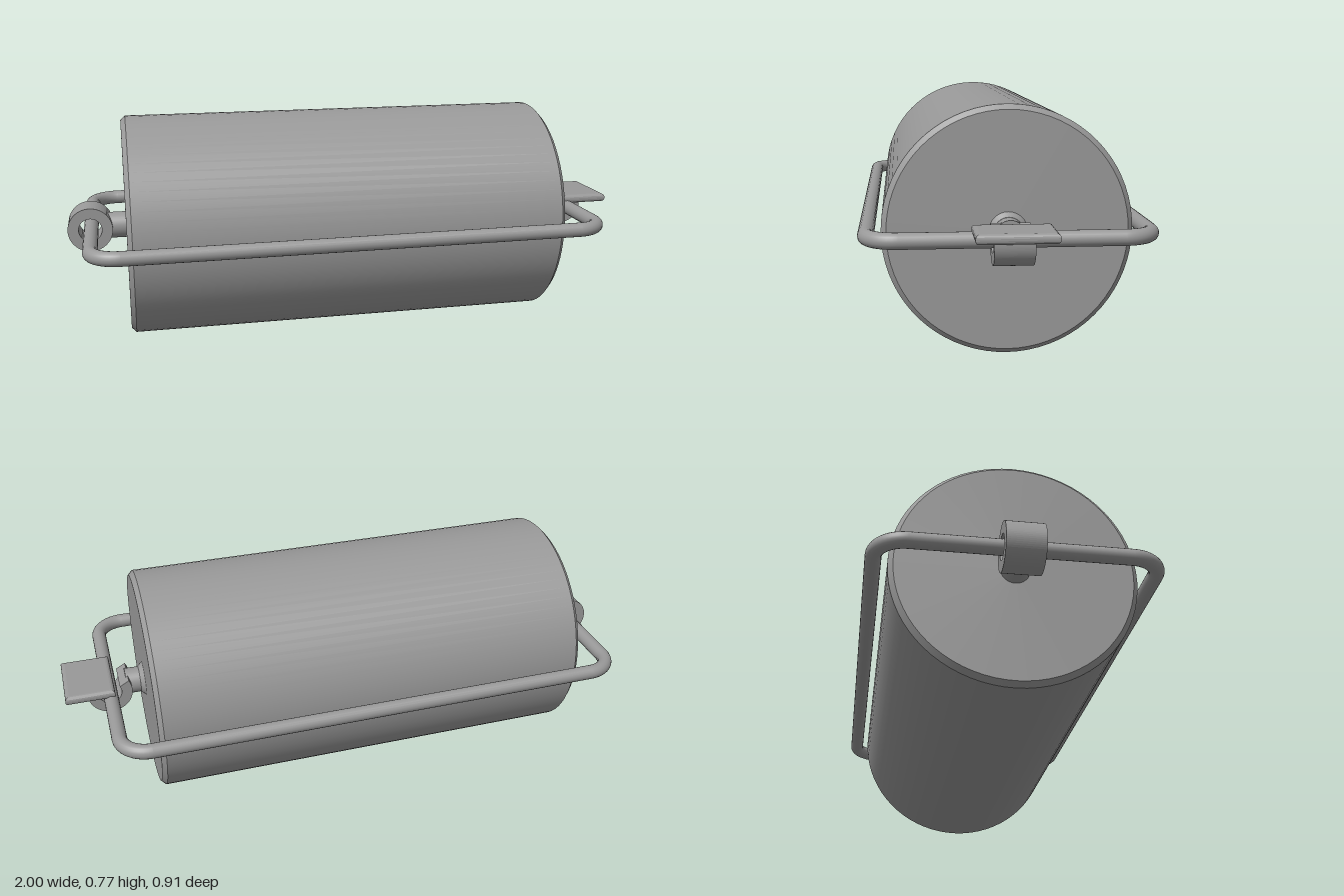
import * as THREE from 'three';

const AXIS = 0.387; // height of the roller axis

export function createModel() {
  const model = new THREE.Group();
  const steel = new THREE.MeshStandardMaterial({ color: 0x999999 });
  steel.name = 'grey steel';

  const add = (name, geometry, x = 0, y = AXIS, z = 0, parent = model) => {
    const mesh = new THREE.Mesh(geometry, steel);
    mesh.name = name;
    mesh.position.set(x, y, z);
    parent.add(mesh);
    return mesh;
  };

  // Solid or open frustum along x, from x0 (radius r0) to x1 (radius r1)
  const alongX = (name, x0, x1, r0, r1, open = false, sides = 64) => {
    const g = new THREE.CylinderGeometry(r1, r0, x1 - x0, sides, 1, open);
    g.rotateZ(-Math.PI / 2);
    return add(name, g, (x0 + x1) / 2);
  };

  // Roller drum with chamfered rims
  const R = 0.386, c = 0.016, L = -0.8, E = 0.72;
  alongX('drumBody', L + c, E - c, R, R, true, 72);
  alongX('drumRimRight', L, L + c, R - c, R, false, 72);
  alongX('drumRimLeft', E - c, E, R, R - c, false, 72);

  // Axle stubs and collar
  alongX('axleStubRight', -0.87, L, 0.046, 0.046, false, 32);
  alongX('axleCollar', E, 0.736, 0.06, 0.046, false, 32);
  alongX('axleStubLeft', 0.73, 0.785, 0.045, 0.045, false, 32);

  // Wire frame: straight rods joined by quarter bends
  const frame = new THREE.Group();
  frame.name = 'wireFrame';
  model.add(frame);
  const fx0 = -0.92, fx1 = 0.845, fz = 0.43, bend = 0.095, wire = 0.025;
  for (const s of [-1, 1]) {
    const long = new THREE.CylinderGeometry(wire, wire, fx1 - fx0 - 2 * bend, 20, 1, true);
    long.rotateZ(Math.PI / 2);
    add('longRod', long, (fx0 + fx1) / 2, AXIS, s * fz, frame);
    const short = new THREE.CylinderGeometry(wire, wire, 2 * (fz - bend), 20, 1, true);
    short.rotateX(Math.PI / 2);
    add('endRod', short, s > 0 ? fx1 : fx0, AXIS, 0, frame);
  }
  const corners = [[1, 1], [1, -1], [-1, -1], [-1, 1]];
  corners.forEach(([sx, sz], i) => {
    const g = new THREE.TorusGeometry(bend, wire, 20, 12, Math.PI / 2);
    g.rotateX(Math.PI / 2);
    g.rotateY(i * Math.PI / 2);
    add('cornerBend', g, sx > 0 ? fx1 - bend : fx0 + bend, AXIS, sz * (fz - bend), frame);
  });

  // Bearings: closed eye on one end, open hook on the other
  const width = 0.12;
  const extrude = (shape) => {
    const g = new THREE.ExtrudeGeometry(shape, { depth: width, bevelEnabled: false, curveSegments: 40 });
    return g.translate(0, 0, -width / 2);
  };
  const outer = 0.077, inner = 0.04;
  const eye = new THREE.Shape().absarc(0, 0, outer, 0, Math.PI * 2, false);
  eye.holes.push(new THREE.Path().absarc(0, 0, inner, 0, Math.PI * 2, true));
  add('bearingEye', extrude(eye), -0.923);

  const start = Math.PI * 0.84, end = Math.PI * 2;
  const hook = new THREE.Shape();
  hook.absarc(0, 0, outer, start, end, false);
  hook.absarc(0, 0, inner, end, start, true);
  hook.closePath();
  add('bearingHook', extrude(hook), 0.845);

  // Thumb plate with rounded edges, lying over the end rod
  const px = 0.07, pz = 0.106, r = 0.014;
  const plate = new THREE.Shape();
  plate.moveTo(-px, -pz);
  plate.lineTo(px, -pz);
  plate.lineTo(px, pz);
  plate.lineTo(-px, pz);
  plate.closePath();
  const plateGeo = new THREE.ExtrudeGeometry(plate, {
    depth: 0.006, bevelEnabled: true, bevelThickness: 0.0125, bevelSize: r, bevelSegments: 4,
  });
  plateGeo.translate(0, 0, -0.003);
  plateGeo.rotateX(Math.PI / 2);
  add('thumbPlate', plateGeo, 0.914, 0.416);

  return model;
}
